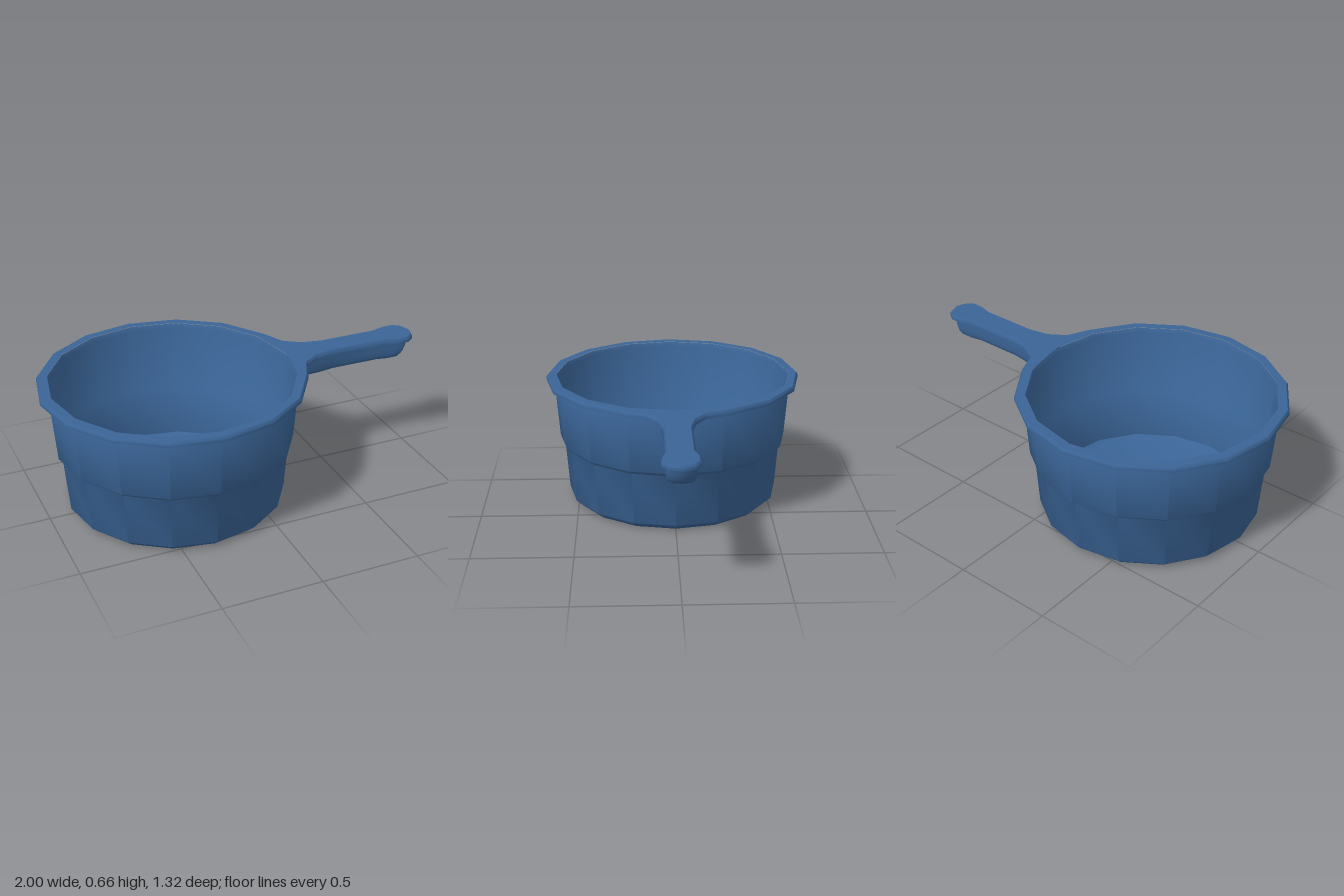
import * as THREE from 'three';
import { mergeGeometries, toCreasedNormals } from 'three/addons/utils/BufferGeometryUtils.js';

const CX = -0.335; // centre of the bowl
const SIDES = 16;

// Full counter-clockwise outline from its half, which starts and ends on the x axis
function mirrorOutline(half) {
  const back = half.slice(1, -1).reverse().map(([x, s]) => [x, -s]);
  return [...half, ...back].map(([x, s]) => new THREE.Vector2(x, s));
}

// Outline moved inward by d
function inset(pts, d) {
  const n = pts.length;
  return pts.map((p, i) => {
    const a = p.clone().sub(pts[(i + n - 1) % n]).normalize();
    const b = pts[(i + 1) % n].clone().sub(p).normalize();
    const t = a.add(b).normalize();
    return new THREE.Vector2(p.x - t.y * d, p.y + t.x * d);
  });
}

// Flat cap facing up or down, with an optional hole
function cap(pts, y, up, hole) {
  const shape = new THREE.Shape(pts);
  if (hole) shape.holes.push(new THREE.Path(hole));
  const g = new THREE.ShapeGeometry(shape);
  g.rotateX(up ? -Math.PI / 2 : Math.PI / 2).translate(0, y, 0);
  g.deleteAttribute('uv');
  return g.toNonIndexed();
}

// Stacked outlines joined from bottom to top, capped at both ends
function loft(layers, hole) {
  const pos = [];
  const put = (p, y) => pos.push(p.x, y, -p.y);
  for (let k = 0; k + 1 < layers.length; k++) {
    const lo = layers[k], hi = layers[k + 1], n = lo.pts.length;
    for (let i = 0; i < n; i++) {
      const j = (i + 1) % n;
      put(lo.pts[i], lo.y); put(lo.pts[j], lo.y); put(hi.pts[j], hi.y);
      put(lo.pts[i], lo.y); put(hi.pts[j], hi.y); put(hi.pts[i], hi.y);
    }
  }
  const wall = new THREE.BufferGeometry();
  wall.setAttribute('position', new THREE.Float32BufferAttribute(pos, 3));
  wall.computeVertexNormals();
  const first = layers[0], last = layers[layers.length - 1];
  const all = mergeGeometries([wall, cap(first.pts, first.y, false, hole), cap(last.pts, last.y, true, hole)]);
  return toCreasedNormals(all, 0.7);
}

export function createModel() {
  const group = new THREE.Group();
  const blue = new THREE.MeshStandardMaterial({ color: 0x3a6496 });
  blue.name = 'blue';
  const add = (name, geometry) => {
    const mesh = new THREE.Mesh(geometry, blue);
    mesh.name = name;
    group.add(mesh);
  };

  // Bowl: outside from the base up, then inside back down to the floor
  const profile = [
    [0, 0], [0.522, 0], [0.554, 0.03], [0.575, 0.305], [0.597, 0.325], [0.622, 0.64],
    [0.61, 0.66], [0.6, 0.64], [0.58, 0.335], [0.557, 0.31], [0.537, 0.04], [0.51, 0.018], [0, 0.018],
  ].map(([r, y]) => new THREE.Vector2(r, y));
  const bowl = new THREE.LatheGeometry(profile, SIDES);
  bowl.translate(CX, 0, 0);
  add('bowl', toCreasedNormals(bowl, 0.8));

  // Rim and handle top: one flat plate with a bevelled upper edge
  const half = [
    [1, 0], [0.98, 0.06], [0.94, 0.088], [0.88, 0.088], [0.81, 0.068],
    [0.51, 0.068], [0.41, 0.088], [0.33, 0.14],
  ];
  for (let i = 1; i <= SIDES / 2; i++) {
    const a = (i / SIDES) * Math.PI * 2;
    half.push([CX + 0.665 * Math.cos(a), 0.662 * Math.sin(a)]);
  }
  const outline = mirrorOutline(half);
  const hole = [];
  for (let i = 0; i < SIDES; i++) {
    const a = (-i / SIDES) * Math.PI * 2;
    hole.push(new THREE.Vector2(CX + 0.61 * Math.cos(a), 0.61 * Math.sin(a)));
  }
  add('rimAndHandlePlate', loft([
    { pts: outline, y: 0.635 }, { pts: outline, y: 0.65 }, { pts: inset(outline, 0.009), y: 0.662 },
  ], hole));

  // Rounded grip under the handle plate
  const grip = mirrorOutline([
    [0.97, 0], [0.96, 0.045], [0.93, 0.072], [0.88, 0.072], [0.81, 0.056],
    [0.51, 0.056], [0.41, 0.074], [0.32, 0.08], [0.29, 0],
  ]);
  const layers = [
    [0.545, 0.84, 0.72], [0.552, 0.89, 0.84], [0.57, 0.94, 0.93], [0.6, 0.97, 0.97], [0.64, 1, 1],
  ].map(([y, kx, kz]) => ({
    y, pts: grip.map((p) => new THREE.Vector2(0.63 + (p.x - 0.63) * kx, p.y * kz)),
  }));
  add('handleGrip', loft(layers));

  return group;
}
